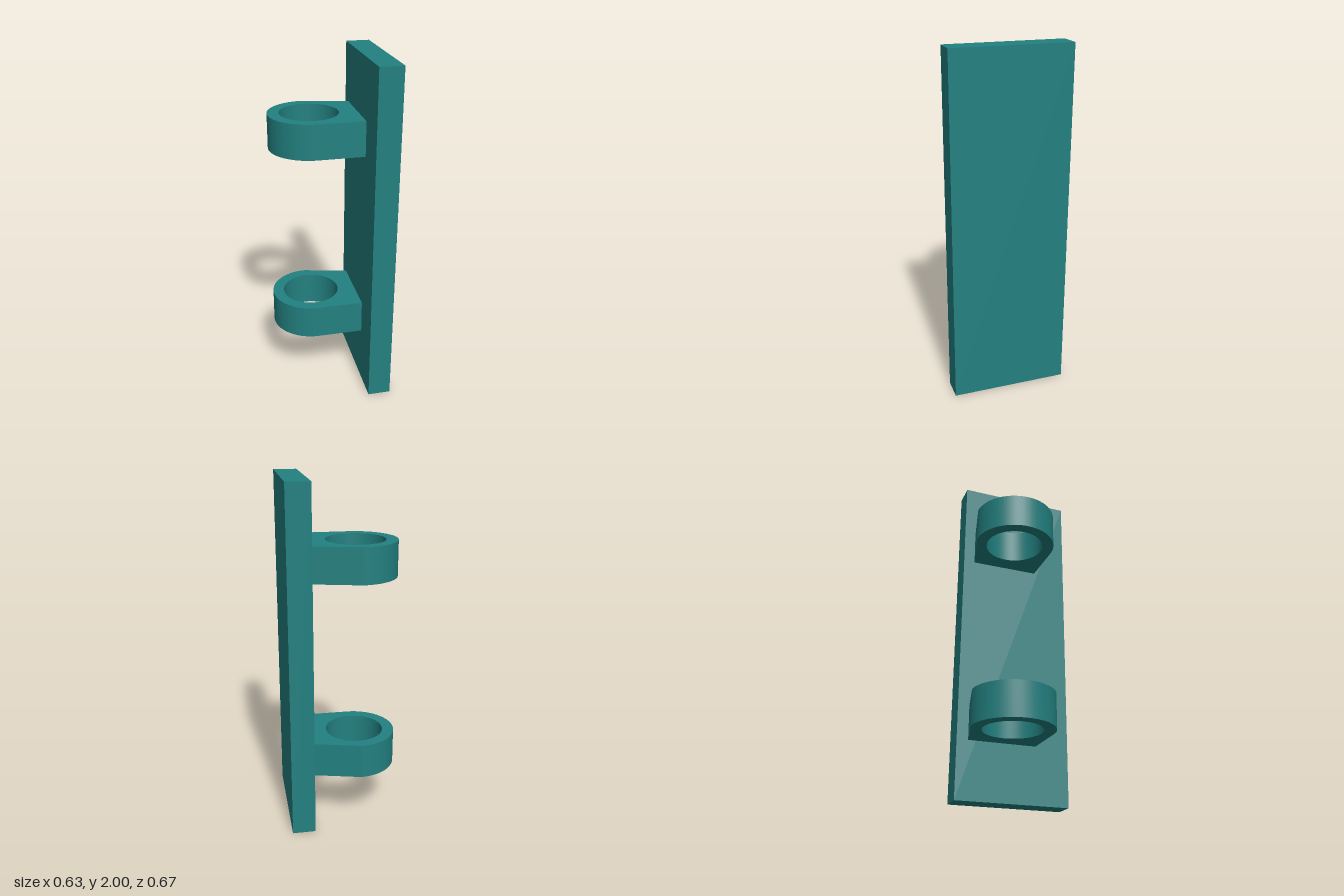
import * as THREE from 'three';
import { toCreasedNormals } from 'three/addons/utils/BufferGeometryUtils.js';

export function createModel() {
  const group = new THREE.Group();
  const material = new THREE.MeshStandardMaterial({ color: 0x238080 });

  // Upright mounting plate
  const plate = new THREE.Mesh(new THREE.BoxGeometry(0.133, 2, 0.667), material);
  plate.name = 'mountingPlate';
  plate.position.set(0.25, 1, 0);
  group.add(plate);

  // Ring lug outline, drawn in (x, -z): round nose, one tapered side, one straight side
  const cx = -0.084, cy = 0.1, outer = 0.233, inner = 0.167, wall = 0.1835;
  const outline = new THREE.Shape();
  outline.moveTo(wall, 0.267);
  outline.lineTo(cx, cy + outer);
  outline.absarc(cx, cy, outer, Math.PI / 2, Math.PI * 1.5, false);
  outline.lineTo(wall, cy - outer);
  outline.closePath();
  const bore = new THREE.Path();
  bore.absarc(cx, cy, inner, 0, Math.PI * 2, true);
  outline.holes.push(bore);

  const lug = toCreasedNormals(
    new THREE.ExtrudeGeometry(outline, { depth: 0.2, bevelEnabled: false, curveSegments: 48 })
      .rotateX(-Math.PI / 2), 0.2);

  // Lower and upper ring lugs
  for (const [name, y] of [['lowerRingLug', 0.334], ['upperRingLug', 1.467]]) {
    const mesh = new THREE.Mesh(lug, material);
    mesh.name = name;
    mesh.position.y = y;
    group.add(mesh);
  }
  return group;
}
